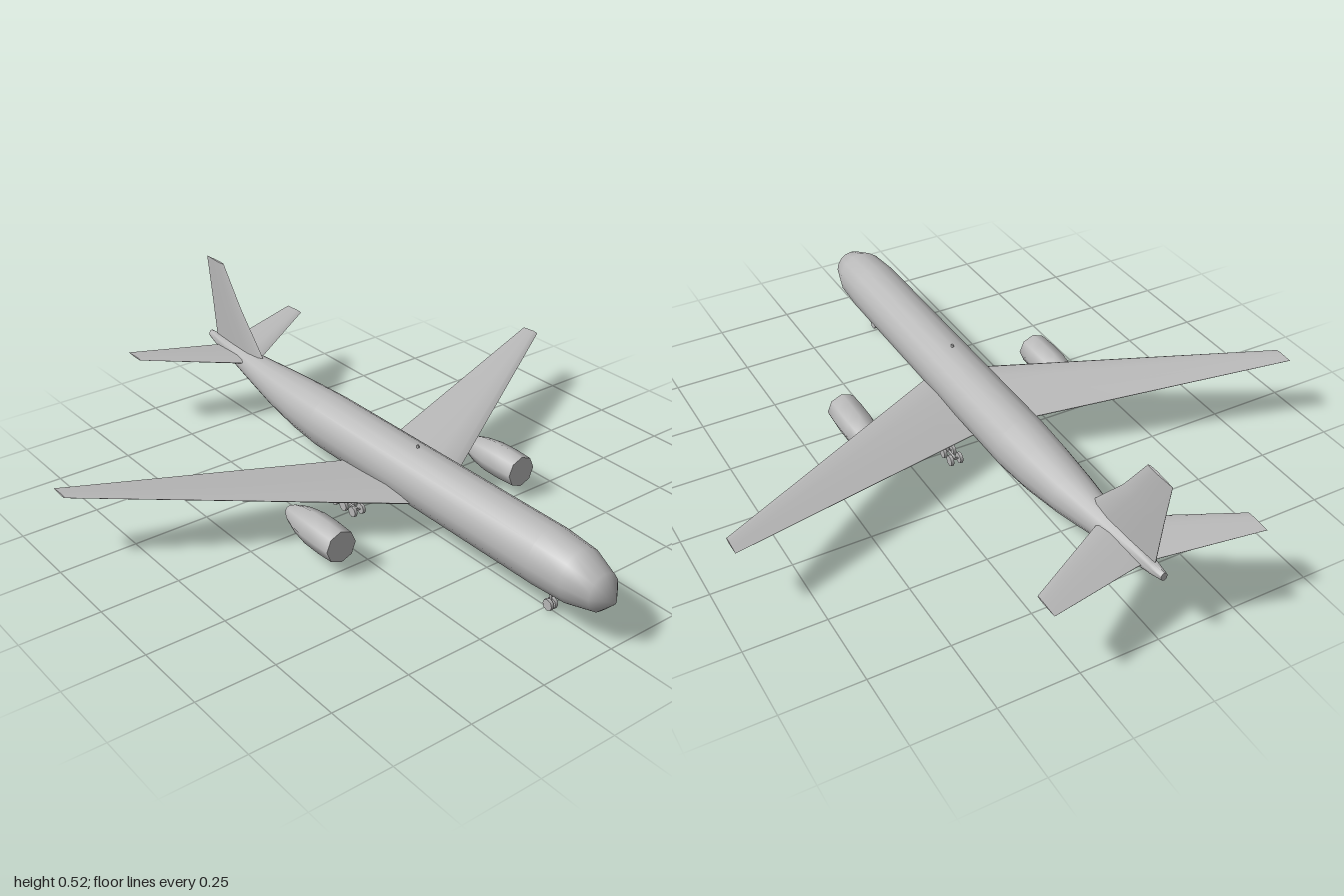
import * as THREE from 'three';
import { toCreasedNormals } from 'three/addons/utils/BufferGeometryUtils.js';

// Skin a list of equal-length rings of [x, y, z] points and close both ends.
function loft(rings, crease = 0.7) {
  const n = rings[0].length;
  const pts = rings.flat();
  const tris = [];
  for (let i = 0; i < rings.length - 1; i++) {
    for (let j = 0; j < n; j++) {
      const a = i * n + j, b = i * n + (j + 1) % n;
      tris.push([a, b, b + n], [a, b + n, a + n]);
    }
  }
  const cap = (ring, start, flip) => {
    pts.push([0, 1, 2].map(k => ring.reduce((sum, p) => sum + p[k], 0) / n));
    for (let j = 0; j < n; j++) {
      const a = start + j, b = start + (j + 1) % n;
      tris.push(flip ? [b, a, pts.length - 1] : [a, b, pts.length - 1]);
    }
  };
  cap(rings[0], 0, true);
  cap(rings[rings.length - 1], (rings.length - 1) * n, false);

  // A negative enclosed volume means the faces point inward, so turn them round.
  const v = pts.map(p => new THREE.Vector3(...p));
  const volume = tris.reduce((sum, [a, b, c]) => sum + v[a].dot(v[b].clone().cross(v[c])), 0);
  const index = tris.flatMap(t => (volume < 0 ? [t[0], t[2], t[1]] : t));

  const geo = new THREE.BufferGeometry();
  geo.setAttribute('position', new THREE.Float32BufferAttribute(pts.flat(), 3));
  geo.setIndex(index);
  return toCreasedNormals(geo, crease);
}

// Aerofoil outline as [chord fraction, thickness fraction].
const FOIL = [[0, 0], [0.07, 0.32], [0.3, 0.5], [0.65, 0.3], [1, 0.03],
  [1, -0.03], [0.65, -0.3], [0.3, -0.5], [0.07, -0.32]];

// Horizontal surface section: leading and trailing z, height and thickness.
const flatSection = (x, y, lead, trail, thick) =>
  FOIL.map(([c, t]) => [x, y + t * thick, lead + c * (trail - lead)]);

// Vertical surface section.
const finSection = (y, lead, trail, thick) =>
  FOIL.map(([c, t]) => [t * thick, y, lead + c * (trail - lead)]);

// Elliptical body ring.
const bodyRing = (z, top, bottom, halfWidth, sides = 16) =>
  Array.from({ length: sides }, (_, i) => {
    const a = (i / sides) * Math.PI * 2;
    return [Math.sin(a) * halfWidth, (top + bottom) / 2 + Math.cos(a) * (top - bottom) / 2, z];
  });

export function createModel() {
  const model = new THREE.Group();
  model.name = 'airliner';
  const grey = new THREE.MeshStandardMaterial({ color: 0xb8b8b8 });
  grey.name = 'grey';

  const add = (name, geometry, parent = model, x = 0, y = 0, z = 0) => {
    const mesh = new THREE.Mesh(geometry, grey);
    mesh.name = name;
    mesh.position.set(x, y, z);
    parent.add(mesh);
    return mesh;
  };

  // Fuselage: z, top, bottom, half width
  add('fuselage', loft([
    [0.997, 0.158, 0.142, 0.008],
    [0.955, 0.217, 0.099, 0.057],
    [0.87, 0.252, 0.079, 0.083],
    [0.75, 0.262, 0.075, 0.091],
    [-0.27, 0.262, 0.075, 0.091],
    [-0.4, 0.258, 0.087, 0.084],
    [-0.55, 0.252, 0.112, 0.07],
    [-0.72, 0.246, 0.148, 0.046],
    [-0.84, 0.243, 0.176, 0.029],
    [-0.95, 0.242, 0.2, 0.018],
    [-0.997, 0.24, 0.213, 0.01],
  ].map(r => bodyRing(...r)), 0.9));

  // Belly fairing under the wing joint
  const fairing = new THREE.SphereGeometry(1, 16, 10);
  fairing.scale(0.075, 0.025, 0.13);
  add('bellyFairing', fairing, model, 0, 0.093, 0.02);

  // Roof beacon
  add('beacon', new THREE.CylinderGeometry(0.004, 0.005, 0.012, 8), model, 0, 0.264, 0.175);

  // Tail fin
  add('tailFin', loft([
    finSection(0.225, -0.64, -0.95, 0.026),
    finSection(0.25, -0.665, -0.957, 0.025),
    finSection(0.39, -0.79, -0.975, 0.017),
    finSection(0.525, -0.888, -0.995, 0.008),
  ]));

  for (const side of [1, -1]) {
    const label = side > 0 ? 'left' : 'right';

    // Swept wing
    add(label + 'Wing', loft([
      flatSection(side * 0.03, 0.117, 0.26, -0.09, 0.042),
      flatSection(side * 0.09, 0.122, 0.225, -0.107, 0.04),
      flatSection(side * 0.942, 0.214, -0.288, -0.358, 0.008),
    ]));

    // Tailplane
    add(label + 'Tailplane', loft([
      flatSection(side * 0.005, 0.213, -0.71, -0.918, 0.023),
      flatSection(side * 0.04, 0.217, -0.732, -0.925, 0.021),
      flatSection(side * 0.336, 0.245, -0.915, -0.998, 0.006),
    ]));

    // Engine: eight-sided pod with a flat face and a tapered tail
    const pod = loft([
      [0.262, 0.052], [0.2, 0.055], [0.13, 0.054], [0.07, 0.045], [0.03, 0.033], [0.0, 0.017],
    ].map(([z, r]) => bodyRing(z, 0.091 + r, 0.091 - r, r, 8)), 0.9);
    add(label + 'Engine', pod, model, side * 0.355);

    // Main landing gear: strut, beam and three axles of paired wheels
    const gear = new THREE.Group();
    gear.name = label + 'MainGear';
    gear.position.x = side * 0.122;
    model.add(gear);
    add('strut', new THREE.CylinderGeometry(0.005, 0.005, 0.1, 8), gear, 0, 0.07, -0.018);
    add('beam', new THREE.BoxGeometry(0.007, 0.007, 0.096), gear, 0, 0.02, -0.018);
    for (const z of [0.029, -0.018, -0.065]) addAxle(gear, 0.016, z);
  }

  // Nose gear
  const noseGear = new THREE.Group();
  noseGear.name = 'noseGear';
  model.add(noseGear);
  add('strut', new THREE.CylinderGeometry(0.004, 0.004, 0.075, 8), noseGear, 0, 0.053, 0.765);
  addAxle(noseGear, 0.008, 0.765);

  // Two wheels joined by a short axle
  function addAxle(parent, halfTrack, z) {
    add('axle', new THREE.CylinderGeometry(0.003, 0.003, halfTrack * 2, 6), parent, 0, 0.018, z)
      .rotation.z = Math.PI / 2;
    for (const s of [1, -1]) {
      add('wheel', new THREE.CylinderGeometry(0.018, 0.018, 0.01, 8), parent, s * halfTrack, 0.018, z)
        .rotation.z = Math.PI / 2;
    }
  }

  return model;
}
